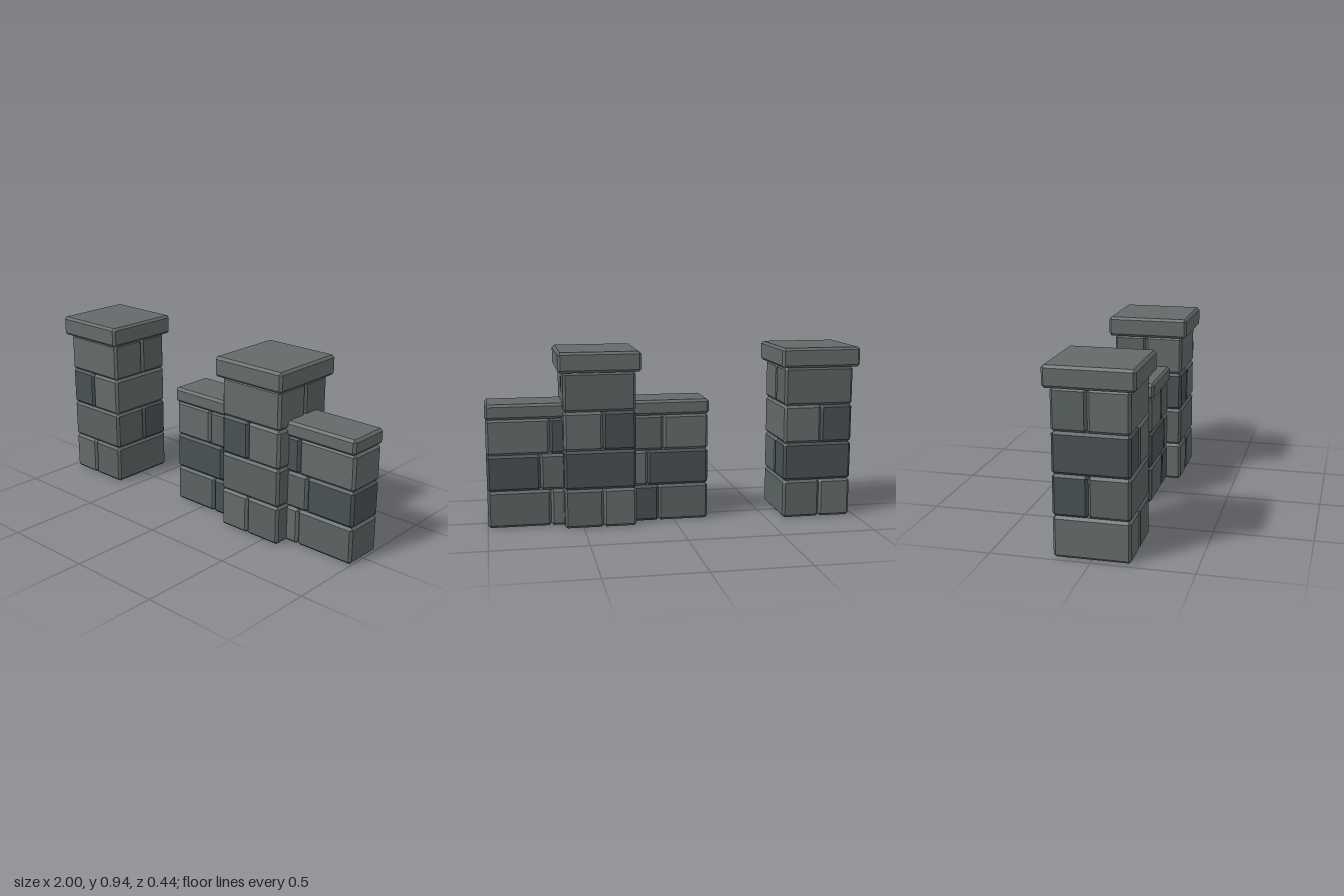
import * as THREE from 'three';
import { ConvexGeometry } from 'three/addons/geometries/ConvexGeometry.js';

const CHAMFER = 0.013;

// Three stone shades: light, mid, dark
const stone = {};
for (const [key, color] of [['light', 0x656969], ['mid', 0x5a6262], ['dark', 0x485053]]) {
  stone[key] = new THREE.MeshStandardMaterial({ color, flatShading: true });
}

// Box with chamfered edges, given by its [min, max] range on each axis
function block(name, shade, x, y, z) {
  const ranges = [x, y, z];
  const half = ranges.map(([a, b]) => (b - a) / 2);
  const points = [];
  for (let axis = 0; axis < 3; axis++) {
    for (let corner = 0; corner < 8; corner++) {
      const p = half.map((h, i) => (corner >> i & 1 ? 1 : -1) * (h - (i === axis ? 0 : CHAMFER)));
      points.push(new THREE.Vector3(...p));
    }
  }
  const mesh = new THREE.Mesh(new ConvexGeometry(points), stone[shade]);
  mesh.name = name;
  mesh.position.set(...ranges.map(([a, b]) => (a + b) / 2));
  return mesh;
}

// Square pillar: courses alternate between a split across x and a split across z
function pillar(name, x) {
  const group = new THREE.Group();
  group.name = name;
  group.position.x = x;
  const r = 0.19, split = -0.015;
  const levels = [0, 0.208, 0.415, 0.622, 0.83];
  const shades = [['light', 'mid'], ['dark', 'mid'], ['dark', 'light'], ['mid', 'light']];
  shades.forEach((pair, row) => {
    const y = [levels[row], levels[row + 1]];
    [[-r, split], [split, r]].forEach((part, i) => {
      const [bx, bz] = row % 2 ? [[-r, r], part] : [part, [-r, r]];
      group.add(block('pillarBlock', pair[i], bx, y, bz));
    });
  });
  group.add(block('pillarCap', 'light', [-0.217, 0.217], [0.83, 0.937], [-0.22, 0.22]));
  return group;
}

// Low wall running through the second pillar
function wall() {
  const group = new THREE.Group();
  group.name = 'lowWall';
  const levels = [0, 0.197, 0.39, 0.582];
  const rows = [
    [[-0.187, 0.085, 0.375, 0.665, 0.998], ['mid', 'dark', 'light', 'mid']],
    [[-0.187, 0.145, 0.43, 0.718, 0.998], ['dark', 'light', 'mid', 'dark']],
    [[-0.187, 0.058, 0.36, 0.665, 0.998], ['light', 'mid', 'dark', 'light']],
  ];
  rows.forEach(([xs, shades], row) => {
    shades.forEach((shade, i) => group.add(
      block('wallBlock', shade, [xs[i], xs[i + 1]], [levels[row], levels[row + 1]], [-0.11, 0.11])));
  });
  group.add(block('wallCap', 'light', [-0.19, 1], [0.582, 0.663], [-0.122, 0.122]));
  return group;
}

export function createModel() {
  const model = new THREE.Group();
  model.name = 'stoneGateway';
  model.add(pillar('freePillar', -0.783), pillar('wallPillar', 0.408), wall());
  return model;
}
